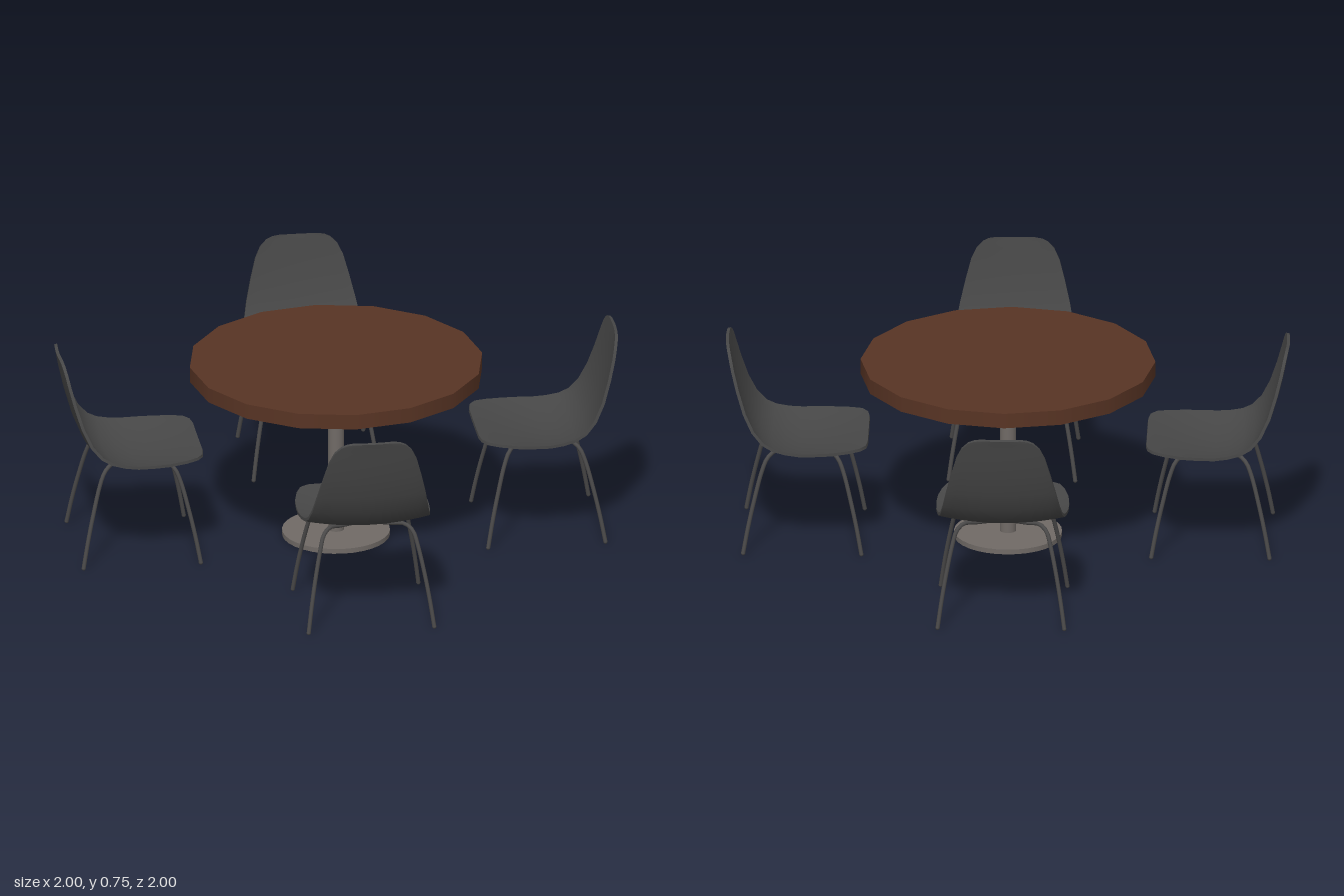
import * as THREE from 'three';
import { toCreasedNormals } from 'three/addons/utils/BufferGeometryUtils.js';

const wood = new THREE.MeshStandardMaterial({ name: 'walnut', color: 0x583424 });
const metal = new THREE.MeshStandardMaterial({ name: 'warm grey metal', color: 0x706a66 });
const plastic = new THREE.MeshStandardMaterial({ name: 'charcoal plastic', color: 0x474747 });
const steel = new THREE.MeshStandardMaterial({ name: 'dark steel', color: 0x4a4949 });

function mesh(name, geometry, material, y = 0) {
  const m = new THREE.Mesh(geometry, material);
  m.name = name;
  m.position.y = y;
  return m;
}

// Shell stations from the seat's front lip to the top of the back:
// z, y on the centre line, half width, how far the edges curl inwards
const STATIONS = [
  [0.494, 0.392, 0.13, 0.002], [0.5, 0.391, 0.17, 0.004], [0.52, 0.387, 0.2, 0.008],
  [0.56, 0.378, 0.218, 0.014], [0.62, 0.366, 0.232, 0.022], [0.68, 0.358, 0.236, 0.028],
  [0.74, 0.355, 0.235, 0.03], [0.79, 0.362, 0.23, 0.028], [0.84, 0.378, 0.224, 0.024],
  [0.88, 0.405, 0.217, 0.02], [0.915, 0.452, 0.208, 0.016], [0.943, 0.52, 0.195, 0.012],
  [0.966, 0.6, 0.176, 0.01], [0.982, 0.67, 0.157, 0.008], [0.989, 0.71, 0.138, 0.006],
  [0.994, 0.733, 0.115, 0.005], [0.996, 0.742, 0.095, 0.004], [0.997, 0.746, 0.07, 0.003],
];

function shellGeometry() {
  const across = 13, loop = across * 2, thickness = 0.011;
  const positions = [], index = [];
  STATIONS.forEach(([z, y, half, curl], i) => {
    const before = STATIONS[Math.max(i - 1, 0)];
    const after = STATIONS[Math.min(i + 1, STATIONS.length - 1)];
    const dz = after[0] - before[0], dy = after[1] - before[1], len = Math.hypot(dz, dy);
    const nz = -dy / len, ny = dz / len;
    // sitting side left to right, then the outside right to left
    for (let j = 0; j < loop; j++) {
      const inner = j < across;
      const u = ((inner ? j : loop - 1 - j) / (across - 1)) * 2 - 1;
      const offset = curl * u * u + (inner ? thickness / 2 : -thickness / 2);
      positions.push(half * u, y + ny * offset, z + nz * offset);
    }
  });
  const last = (STATIONS.length - 1) * loop;
  for (let row = 0; row < last; row += loop) {
    for (let j = 0; j < loop; j++) {
      const a = row + j, b = row + (j + 1) % loop;
      index.push(a, a + loop, b, b, a + loop, b + loop);
    }
  }
  // close the front lip and the top edge
  for (let j = 0; j < across - 1; j++) {
    const a = j, b = j + 1, c = loop - 2 - j, d = loop - 1 - j;
    index.push(a, b, c, a, c, d);
    index.push(last + a, last + c, last + b, last + a, last + d, last + c);
  }
  const g = new THREE.BufferGeometry();
  g.setAttribute('position', new THREE.Float32BufferAttribute(positions, 3));
  g.setIndex(index);
  return toCreasedNormals(g, 0.8);
}

// One bent rod: foot, up, diagonally under the seat, down to the opposite foot
function legGeometry(side) {
  const half = [
    [0.225, 0.008, 0.21], [0.212, 0.1, 0.193], [0.195, 0.2, 0.171], [0.174, 0.3, 0.145],
    [0.16, 0.345, 0.126], [0.135, 0.363, 0.1], [0.09, 0.355, 0.066],
  ];
  const point = (s) => ([x, y, z]) => new THREE.Vector3(s * side * x, y, 0.725 + s * z);
  const points = [
    ...half.map(point(1)), new THREE.Vector3(0, 0.345, 0.725), ...half.map(point(-1)).reverse(),
  ];
  return new THREE.TubeGeometry(new THREE.CatmullRomCurve3(points), 56, 0.0075, 8);
}

export function createModel() {
  const model = new THREE.Group();
  model.name = 'diningSet';

  // Round pedestal table
  const table = new THREE.Group();
  table.name = 'table';
  table.add(
    mesh('tableTop', new THREE.CylinderGeometry(0.524, 0.524, 0.055, 16), wood, 0.6375),
    mesh('tableColumn', new THREE.CylinderGeometry(0.029, 0.029, 0.6, 20), metal, 0.312),
    mesh('tableBase', new THREE.CylinderGeometry(0.192, 0.192, 0.018, 32), metal, 0.009),
  );
  model.add(table);

  // Four chairs facing the table
  const shell = shellGeometry();
  const legs = [legGeometry(1), legGeometry(-1)];
  const footCap = new THREE.SphereGeometry(0.0078, 8, 6);
  for (let k = 0; k < 4; k++) {
    const chair = new THREE.Group();
    chair.name = 'chair';
    chair.add(mesh('seatShell', shell, plastic));
    legs.forEach((g) => chair.add(mesh('crossedLegs', g, steel)));
    for (const x of [-0.225, 0.225]) {
      for (const z of [0.515, 0.935]) {
        const foot = mesh('foot', footCap, steel);
        foot.position.set(x, 0.008, z);
        chair.add(foot);
      }
    }
    chair.rotation.y = (k * Math.PI) / 2;
    model.add(chair);
  }
  return model;
}
